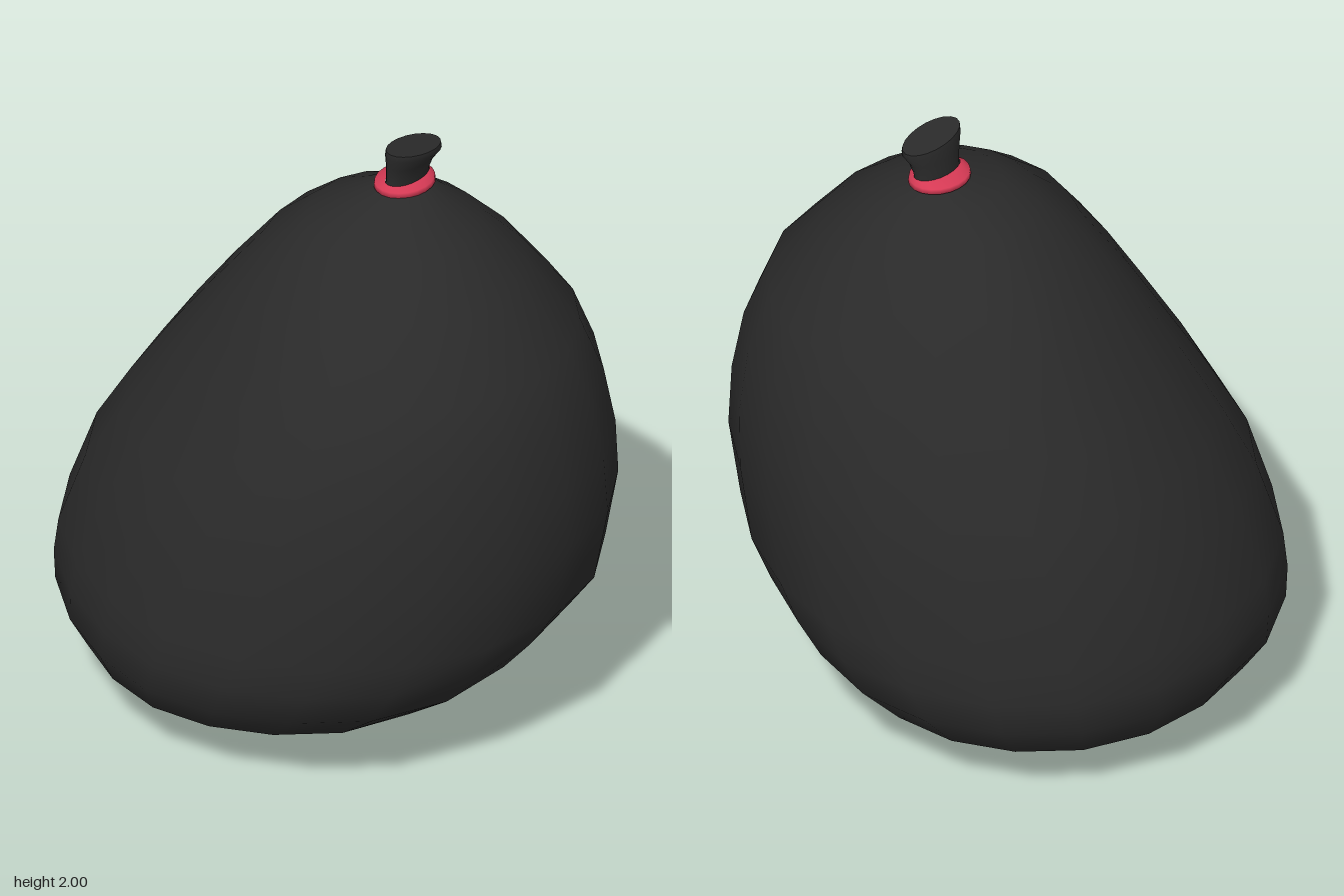
import * as THREE from 'three';

const SIDES = 20;

// Skins a stack of closed rings, listed from bottom to top.
function loft(rings, material, name) {
  const pos = [], index = [];
  rings.forEach((ring) => ring.forEach((p) => pos.push(...p)));
  for (let j = 0; j < rings.length - 1; j++) {
    for (let i = 0; i < SIDES; i++) {
      const a = j * SIDES + i, b = j * SIDES + (i + 1) % SIDES;
      index.push(a, a + SIDES, b, b, a + SIDES, b + SIDES);
    }
  }
  const geo = new THREE.BufferGeometry();
  geo.setAttribute('position', new THREE.Float32BufferAttribute(pos, 3));
  geo.setIndex(index);
  geo.computeVertexNormals();
  const mesh = new THREE.Mesh(geo, material);
  mesh.name = name;
  return mesh;
}

// Sack ring: limits in x and z, with a percentage bulge for each diagonal
// corner (front left, front right, back right, back left).
function sackRing([y, x0, x1, z0, z1, ...bulge]) {
  return Array.from({ length: SIDES }, (_, i) => {
    const t = (i / SIDES) * Math.PI * 2;
    const corner = bulge[Math.floor((i * 4) / SIDES)] / 100;
    const k = 1 + corner * Math.sin(2 * t) ** 2;
    return [
      (x0 + x1) / 2 + ((x1 - x0) / 2) * k * Math.cos(t),
      y,
      (z0 + z1) / 2 + ((z1 - z0) / 2) * k * Math.sin(t),
    ];
  });
}

// Neck ring: centre, half sizes, and slopes of its plane; all share one turn about y.
function neckRing(x, y, z, rx, rz, slopeX = 0, slopeZ = 0) {
  const turn = 0.37;
  return Array.from({ length: SIDES }, (_, i) => {
    const t = (i / SIDES) * Math.PI * 2;
    const u = rx * Math.cos(t), v = rz * Math.sin(t);
    const dx = u * Math.cos(turn) - v * Math.sin(turn);
    const dz = u * Math.sin(turn) + v * Math.cos(turn);
    return [x + dx, y + dx * slopeX + dz * slopeZ, z + dz];
  });
}

export function createModel() {
  const model = new THREE.Group();
  model.name = 'tiedBag';
  const black = new THREE.MeshStandardMaterial({ color: 0x2a2a2a });
  black.name = 'bag black';
  const red = new THREE.MeshStandardMaterial({ color: 0xd63a55 });
  red.name = 'tie red';

  // Slumped sack: height, x limits, z limits, corner bulges
  const sections = [
    [0, -0.12, -0.12, 0, 0, 0, 0, 0, 0],
    [0.01, -0.26, 0.0, -0.17, 0.2, 3, 0, 3, 0],
    [0.05, -0.53, 0.2, -0.43, 0.37, 5, 0, 3, -2],
    [0.11, -0.7, 0.33, -0.61, 0.54, 6, -1, 3, -3],
    [0.2, -0.83, 0.5, -0.76, 0.73, 6, -3, 2, -3],
    [0.32, -0.91, 0.68, -0.85, 0.835, 5, -5, 2, -4],
    [0.43, -0.915, 0.78, -0.86, 0.855, 3, -5, 3, -4],
    [0.55, -0.9, 0.865, -0.855, 0.86, 1, -5, 4, -5],
    [0.8, -0.81, 0.91, -0.815, 0.815, 0, -4, 6, -5],
    [1.0, -0.69, 0.9, -0.755, 0.775, -1, -7, 9, -3],
    [1.2, -0.555, 0.86, -0.675, 0.7, -1, -9, 9, -1],
    [1.39, -0.415, 0.785, -0.57, 0.6, 0, -9, 10, 0],
    [1.6, -0.25, 0.61, -0.415, 0.425, 1, -6, 10, 1],
    [1.73, -0.1, 0.46, -0.29, 0.26, 0, -2, 6, 1],
    [1.79, 0.02, 0.36, -0.21, 0.16, 0, 0, 0, 0],
    [1.84, 0.13, 0.27, -0.16, 0.02, 0, 0, 0, 0],
  ];
  model.add(loft(sections.map(sackRing), black, 'sack'));

  // Tie around the neck
  model.add(loft([
    neckRing(0.2, 1.826, -0.073, 0.07, 0.09),
    neckRing(0.199, 1.836, -0.074, 0.09, 0.108),
    neckRing(0.199, 1.853, -0.074, 0.087, 0.106),
    neckRing(0.207, 1.866, -0.074, 0.048, 0.089),
  ], red, 'tie'));

  // Gathered neck flaring to a slanted flat top
  const rim = neckRing(0.23, 1.981, -0.07, 0.063, 0.111, -0.06, 0.13);
  model.add(loft([
    neckRing(0.207, 1.84, -0.074, 0.048, 0.089),
    neckRing(0.21, 1.88, -0.074, 0.048, 0.089),
    neckRing(0.218, 1.925, -0.073, 0.055, 0.098, -0.02, 0.07),
    neckRing(0.23, 1.962, -0.07, 0.066, 0.113, -0.05, 0.12),
    rim,
  ], black, 'neck'));
  model.add(loft([rim, neckRing(0.23, 1.981, -0.07, 0, 0)], black, 'neckTop'));

  return model;
}
